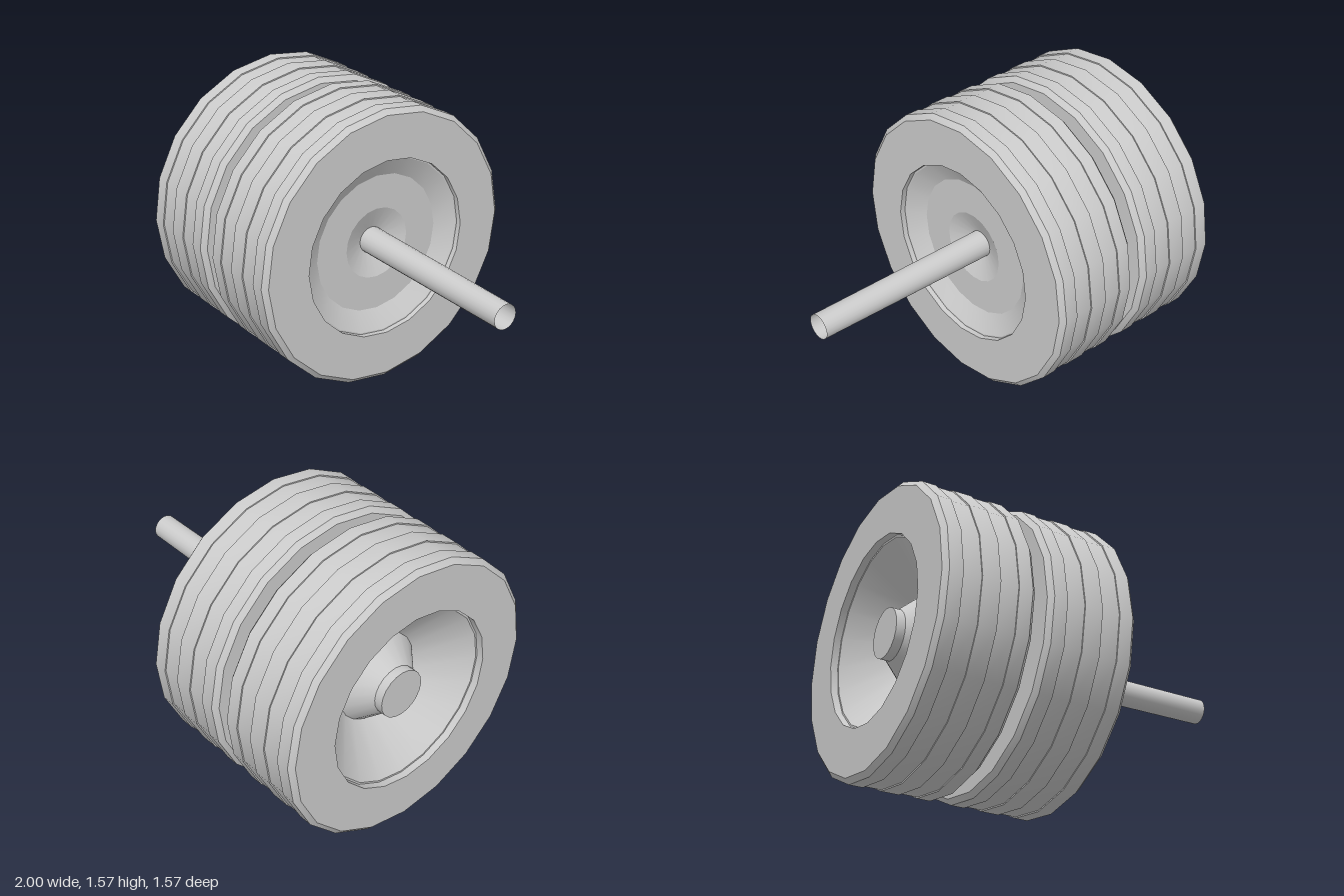
import * as THREE from 'three';
import { toCreasedNormals } from 'three/addons/utils/BufferGeometryUtils.js';

const SIDES = 20;
const WIDTH = 0.5;
const CENTRE_Y = 0.784;

const material = new THREE.MeshStandardMaterial({ color: 0xcccccc });
const openMaterial = new THREE.MeshStandardMaterial({ color: 0xcccccc, side: THREE.DoubleSide });

// Turns a [radius, position along axle] profile, smooth around but sharp at profile edges
function turned(name, profile, mat = material) {
  const points = profile.map(([r, a]) => new THREE.Vector2(r, a));
  const geometry = toCreasedNormals(new THREE.LatheGeometry(points, SIDES), 0.33);
  geometry.rotateZ(-Math.PI / 2); // axle runs along +x
  const mesh = new THREE.Mesh(geometry, mat);
  mesh.name = name;
  return mesh;
}

// Tyre: chamfered shoulders, three raised tread bands, two shallow grooves
function makeTyre() {
  const tread = 0.783, groove = 0.776, shoulder = 0.755, bore = 0.505;
  const profile = [[bore, 0], [shoulder, 0], [tread, 0.025]];
  for (const start of [0.1, 0.3]) {
    profile.push([tread, start], [groove, start], [groove, start + 0.1], [tread, start + 0.1]);
  }
  profile.push([tread, WIDTH - 0.025], [shoulder, WIDTH], [bore, WIDTH], [bore, 0]);
  return turned('tyre', profile);
}

// Rim: deep bowl with a tapered hub cap on one face, shallow dish on the other
function makeRim() {
  return turned('rim', [
    [0, 0.07], [0.135, 0.07], [0.135, 0.12], [0.25, 0.25],
    [0.495, 0.04], [0.505, 0.04], [0.505, 0.47], [0.497, 0.47],
    [0.39, 0.41], [0.2, 0.41], [0.073, 0.36], [0, 0.36],
  ]);
}

export function createModel() {
  const model = new THREE.Group();
  model.name = 'dualWheelAxle';

  // Pair of identical wheels
  [['outerWheel', -1], ['innerWheel', -0.43]].forEach(([name, x]) => {
    const wheel = new THREE.Group();
    wheel.name = name;
    wheel.add(makeTyre(), makeRim());
    wheel.position.set(x, CENTRE_Y, 0);
    model.add(wheel);
  });

  // Hub spacer joining the wheels
  const spacer = turned('hubSpacer', [[0.195, -0.6], [0.195, -0.3]], openMaterial);
  spacer.position.y = CENTRE_Y;

  // Slightly tapered hollow axle
  const axle = turned('axle', [[0.074, -0.08], [0.069, 1]], openMaterial);
  axle.position.y = CENTRE_Y;

  model.add(spacer, axle);
  return model;
}
